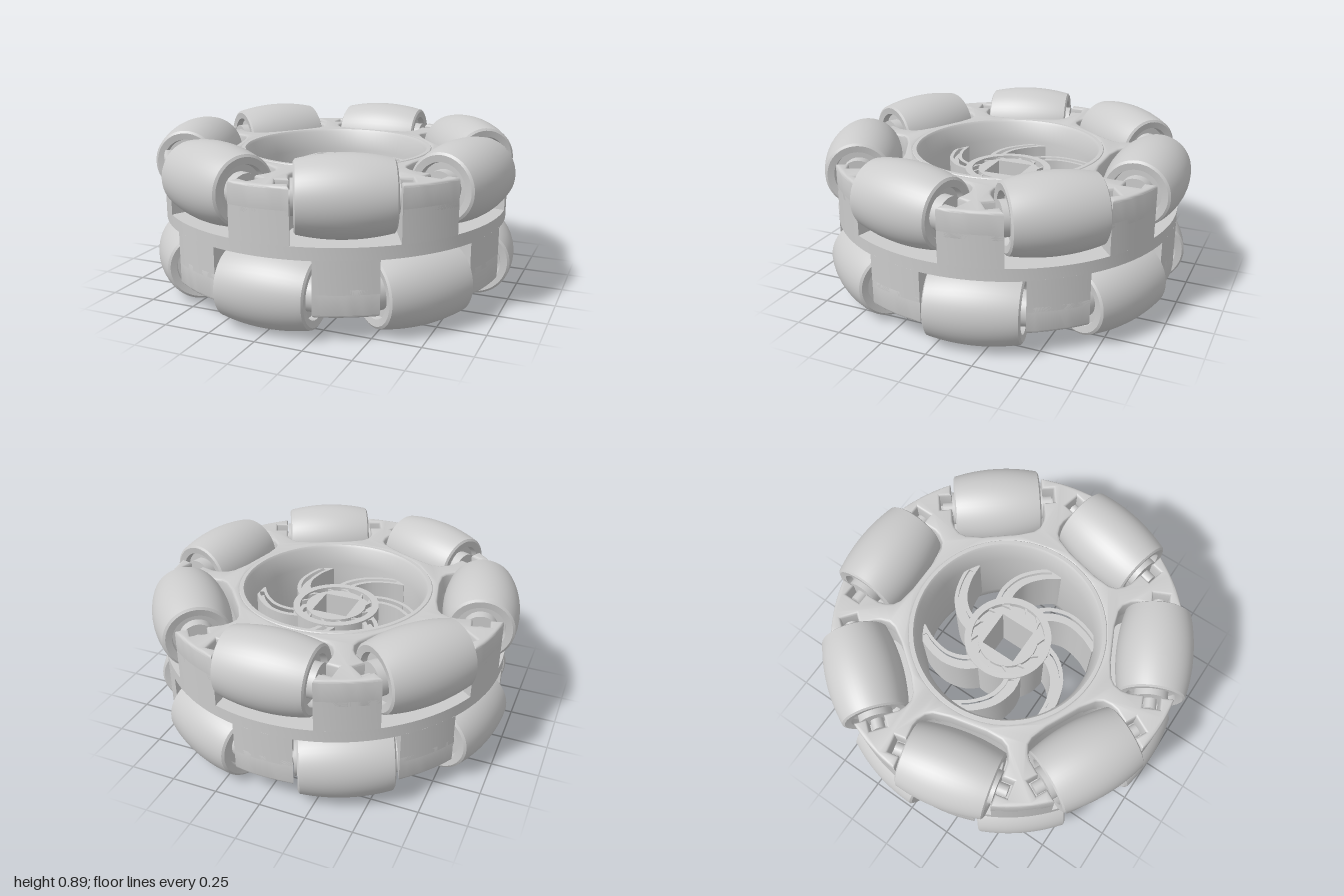
import * as THREE from 'three';
import { toCreasedNormals } from 'three/addons/utils/BufferGeometryUtils.js';

const N = 7;            // rollers per row
const R = 0.795;        // distance of the roller axes from the centre
const ROW = 0.2385;     // height of a roller row above the middle plane
const RIM = 0.945;      // outer radius of the body
const STEP = (Math.PI * 2) / N;
const material = new THREE.MeshStandardMaterial({ color: 0xcccccc });
const V = (x, y) => new THREE.Vector2(x, y);

function mesh(name, geometry, crease = 0.6) {
  const m = new THREE.Mesh(toCreasedNormals(geometry, crease), material);
  m.name = name;
  return m;
}

const lathe = (points, segments) =>
  new THREE.LatheGeometry(points.map(([r, y]) => V(r, y)), segments);

// extrude a flat shape upward between two heights; shape y points to -z
function slab(shape, y0, y1, bevel = 0) {
  const g = new THREE.ExtrudeGeometry(shape, {
    depth: y1 - y0 - 2 * bevel, curveSegments: 48,
    bevelEnabled: bevel > 0, bevelSize: bevel, bevelThickness: bevel,
    bevelOffset: -bevel, bevelSegments: 3,
  });
  return g.rotateX(-Math.PI / 2).translate(0, y0 + bevel, 0);
}

function circle(radius) {
  return new THREE.Path().absarc(0, 0, radius, 0, Math.PI * 2);
}

// rim outline with one open pocket per roller, optionally with axle grooves
function castellation(grooved) {
  const half = 0.26;
  const pocket = [[-half, Math.sqrt(RIM * RIM - half * half)]];
  if (grooved) pocket.push([-half, R + 0.045], [-0.325, R + 0.045], [-0.325, R - 0.045], [-half, R - 0.045]);
  pocket.push([-half, 0.67], [-0.25, 0.635], [-0.225, 0.595], [-0.19, 0.575], [-0.1, 0.562]);
  pocket.push(...pocket.map(([t, r]) => [-t, r]).reverse());
  const edge = Math.asin(half / RIM);
  const points = [];
  for (let k = 0; k < N; k++) {
    const a = k * STEP, c = Math.cos(a), s = Math.sin(a);
    for (const [t, r] of pocket) points.push(V(t * c + r * s, r * c - t * s));
    for (let i = 1; i < 8; i++) {
      const b = a + edge + ((STEP - 2 * edge) * i) / 8;
      points.push(V(RIM * Math.sin(b), RIM * Math.cos(b)));
    }
  }
  const shape = new THREE.Shape(points);
  shape.holes.push(circle(0.52));
  return shape;
}

// barrel whose outside follows the wheel's circle, with recessed ends
function rollerGeometry() {
  const points = [[0, -0.2], [0.125, -0.2], [0.13, -0.235], [0.165, -0.24]];
  for (let i = -8; i <= 8; i++) {
    const x = (i / 8) * 0.232;
    points.push([Math.sqrt(1 - x * x) - R, x]);
  }
  points.push([0.165, 0.24], [0.13, 0.235], [0.125, 0.2], [0, 0.2]);
  return lathe(points, 48).rotateZ(Math.PI / 2);
}

// one row of rollers with the half of the body that holds it
function createRow() {
  const row = new THREE.Group();
  row.name = 'rollerRow';
  row.add(mesh('pocketWalls', slab(castellation(false), 0.03, 0.2)));
  row.add(mesh('axleBlocks', slab(castellation(true), 0.16, 0.315, 0.014)));
  const roller = mesh('roller', rollerGeometry());
  const spacer = mesh('spacer', new THREE.CylinderGeometry(0.09, 0.09, 0.51, 32).rotateZ(Math.PI / 2));
  const axle = mesh('axle', new THREE.CylinderGeometry(0.034, 0.034, 0.62, 20).rotateZ(Math.PI / 2));
  for (let k = 0; k < N; k++) {
    const unit = new THREE.Group();
    unit.name = 'rollerUnit';
    for (const part of [roller, spacer, axle]) {
      const p = part.clone();
      p.position.set(0, ROW, -R);
      unit.add(p);
    }
    unit.rotation.y = -k * STEP;
    row.add(unit);
  }
  return row;
}

// outline around a curved centre line, tapering to its outer end
function spokeShape(width, from, to) {
  const polar = (r, deg) => V(r * Math.cos(deg * Math.PI / 180), r * Math.sin(deg * Math.PI / 180));
  const curve = new THREE.SplineCurve([polar(0.2, 47), polar(0.28, 37), polar(0.36, 24), polar(0.43, 10), polar(0.485, -1)]);
  const a = [], b = [];
  for (let i = 0; i <= 16; i++) {
    const u = from + ((to - from) * i) / 16;
    const p = curve.getPoint(u), t = curve.getTangent(u);
    const w = width * (1 - 0.4 * u) / 2;
    a.push(V(p.x - t.y * w, p.y + t.x * w));
    b.unshift(V(p.x + t.y * w, p.y - t.x * w));
  }
  return new THREE.Shape([...a, ...b]);
}

function createCentre() {
  const centre = new THREE.Group();
  centre.name = 'centre';

  // curved spokes with a shallow slot on both faces
  const outline = spokeShape(0.088, 0, 1);
  outline.holes.push(spokeShape(0.036, 0.14, 0.86));
  const spoke = mesh('spoke', slab(outline, -0.18, 0.18));
  const web = mesh('spokeWeb', slab(spokeShape(0.04, 0.12, 0.88), -0.15, 0.15));
  for (let k = 0; k < 6; k++) {
    for (const part of [spoke, web]) {
      const p = part.clone();
      p.rotation.y = (-3 + k * 60) * Math.PI / 180;
      centre.add(p);
    }
  }

  // hub with a square bore
  const square = (h) => [V(-h, -h), V(h, -h), V(h, h), V(-h, h)];
  const ring = (outer, hole) => {
    const s = new THREE.Shape(circle(outer).getPoints(48));
    s.holes.push(hole);
    return s;
  };
  centre.add(mesh('hubCore', slab(ring(0.225, new THREE.Path(square(0.1))), -0.155, 0.155)));
  centre.add(mesh('hubOuterRing', slab(ring(0.238, circle(0.2)), -0.19, 0.19)));
  centre.add(mesh('hubInnerRing', slab(ring(0.165, new THREE.Path(square(0.1))), -0.185, 0.185)));

  // slanted ribs between the hub rings
  const rib = mesh('hubRib', new THREE.BoxGeometry(0.06, 0.36, 0.012).rotateY(0.7).translate(0.182, 0, 0));
  for (let k = 0; k < 12; k++) {
    const r = rib.clone();
    r.rotation.y = (k * Math.PI) / 6;
    centre.add(r);
  }
  return centre;
}

export function createModel() {
  const model = new THREE.Group();
  model.name = 'omniWheel';

  const wheel = new THREE.Group();
  wheel.name = 'wheel';
  wheel.position.y = 0.4415;
  model.add(wheel);

  // the second row is the first turned over, which staggers its rollers
  const upper = createRow();
  const lower = upper.clone();
  lower.rotation.x = Math.PI;
  wheel.add(upper, lower);

  // middle band joining both rows
  wheel.add(mesh('middleBand', lathe(
    [[0.5, -0.033], [RIM, -0.033], [RIM, 0.033], [0.5, 0.033]], 112)));

  // inner barrel with rounded lips and a narrower waist
  wheel.add(mesh('innerBarrel', lathe([
    [0.47, -0.2], [0.495, -0.305], [0.505, -0.318], [0.525, -0.318], [0.54, -0.3],
    [0.54, 0.3], [0.525, 0.318], [0.505, 0.318], [0.495, 0.305], [0.47, 0.2], [0.47, -0.2],
  ], 96)));

  wheel.add(createCentre());
  return model;
}
